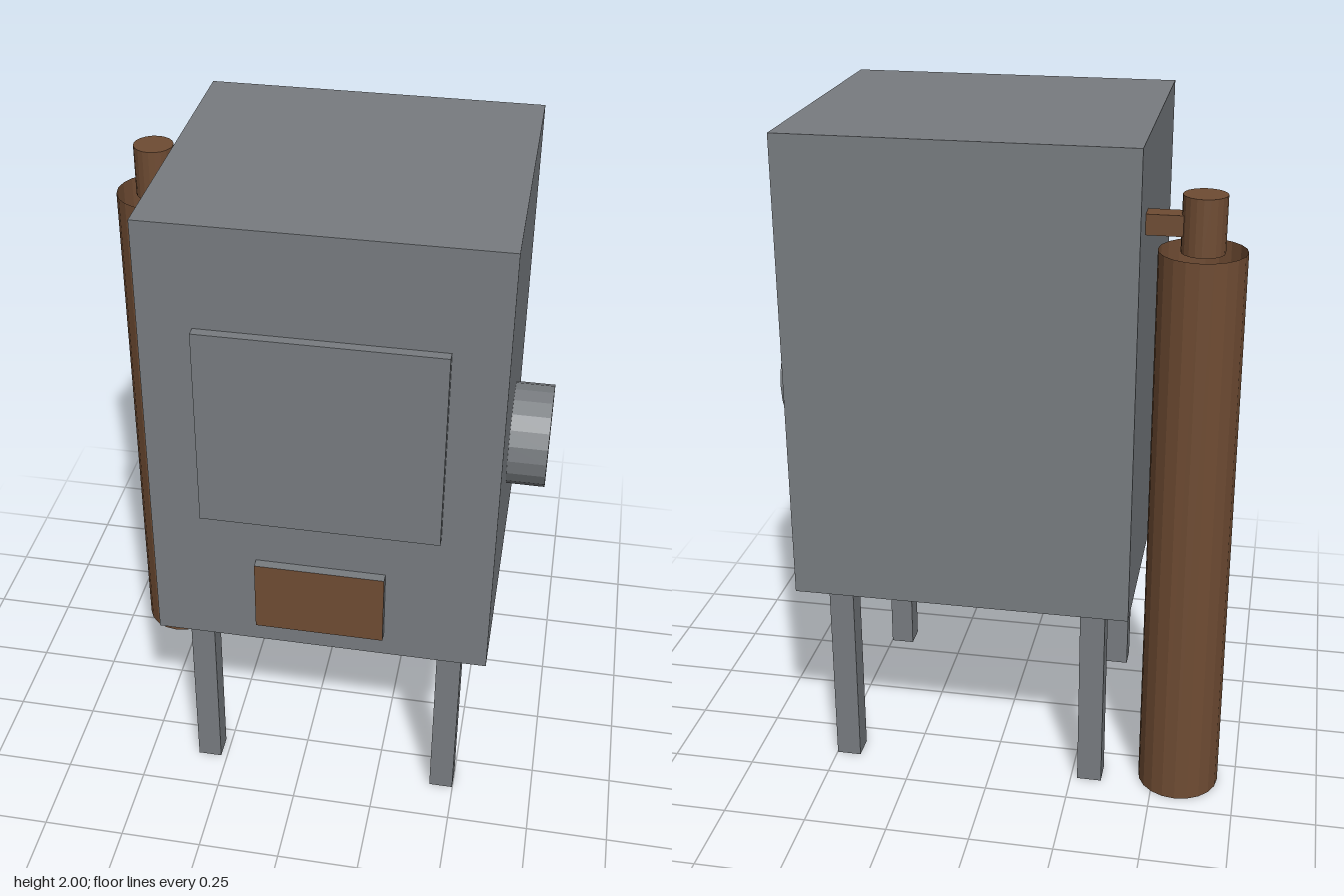
import * as THREE from 'three';

export function createModel() {
  const model = new THREE.Group();
  model.name = 'stove';

  const steel = new THREE.MeshStandardMaterial({ color: 0x787c80, flatShading: true });
  steel.name = 'grey steel';
  const rust = new THREE.MeshStandardMaterial({ color: 0x6f4c33, flatShading: true, side: THREE.DoubleSide });
  rust.name = 'rusty brown';

  const add = (name, geometry, material, x = 0, y = 0, z = 0) => {
    const mesh = new THREE.Mesh(geometry, material);
    mesh.name = name;
    mesh.position.set(x, y, z);
    model.add(mesh);
    return mesh;
  };
  // box given by its limits on each axis
  const box = (name, material, [x0, x1], [y0, y1], [z0, z1]) =>
    add(name, new THREE.BoxGeometry(x1 - x0, y1 - y0, z1 - z0), material,
      (x0 + x1) / 2, (y0 + y1) / 2, (z0 + z1) / 2);

  // firebox with its door
  box('body', steel, [-0.42, 0.578], [0.62, 2], [-0.477, 0.446]);
  box('door', steel, [-0.267, 0.425], [1.08, 1.695], [0.44, 0.475]);

  // ash drawer: only the front face is brown
  box('ashDrawer', [steel, steel, steel, steel, rust, steel],
    [-0.112, 0.27], [0.697, 0.926], [0.44, 0.475]);

  // four square legs
  for (const x of [-0.307, 0.462]) {
    for (const z of [0.333, -0.361]) {
      box('leg', steel, [x - 0.037, x + 0.037], [0, 0.62], [z - 0.037, z + 0.037]);
    }
  }

  // round outlet on the left side
  const outlet = add('outlet', new THREE.CylinderGeometry(0.154, 0.154, 0.12, 20), steel, 0.633, 1.15, -0.018);
  outlet.rotation.z = -Math.PI / 2;

  // open-ended standing pipe, its capped neck and the link to the body
  const px = -0.575, pz = -0.325;
  add('pipe', new THREE.CylinderGeometry(0.122, 0.122, 1.695, 20, 1, true), rust, px, 0.8475, pz);
  add('neck', new THREE.CylinderGeometry(0.061, 0.061, 0.16, 20), rust, px, 1.77, pz);
  box('pipeLink', rust, [px, -0.41], [1.737, 1.795], [-0.352, -0.292]);

  return model;
}
